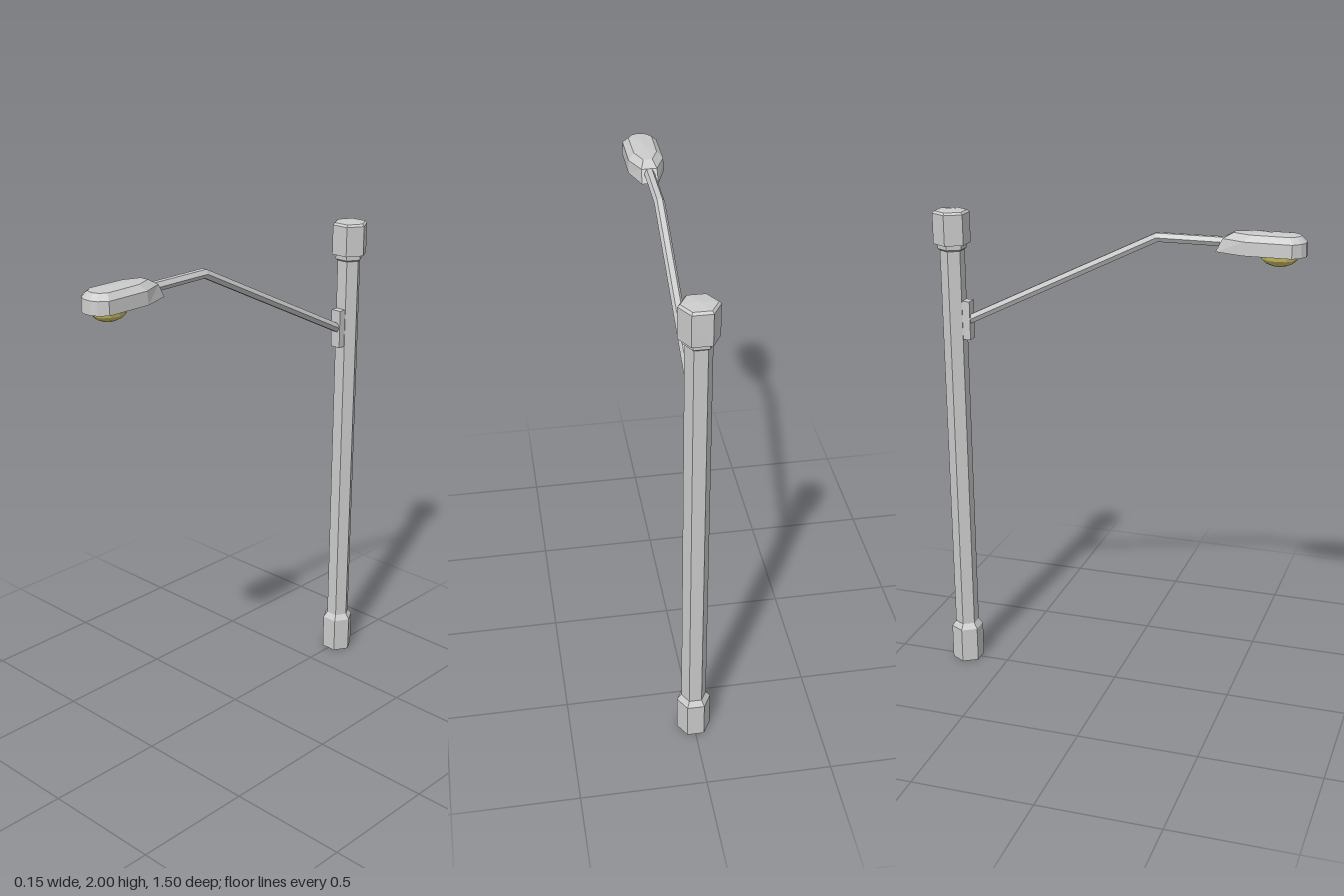
import * as THREE from 'three';

const grey = new THREE.MeshStandardMaterial({ color: 0xcccccc, flatShading: true });
const amber = new THREE.MeshStandardMaterial({ color: 0xd0c468, flatShading: true });
const POLE_Z = -0.685;

function add(parent, name, geometry, material = grey) {
  const mesh = new THREE.Mesh(geometry, material);
  mesh.name = name;
  parent.add(mesh);
  return mesh;
}

// Six-sided turned part standing on the pole axis, corners towards +x and -x
function hexPart(parent, name, profile) {
  const points = profile.map(([r, y]) => new THREE.Vector2(r, y));
  add(parent, name, new THREE.LatheGeometry(points, 6, Math.PI / 2)).position.z = POLE_Z;
}

// Skin over equal rings of [x, y, z], closed at both ends by a fan
// (rings run counter-clockwise when seen from the last ring's side)
function loft(rings, firstCentre, lastCentre) {
  const n = rings[0].length;
  const index = [];
  const first = rings.length * n, last = first + 1;
  for (let i = 0; i < n; i++) {
    const j = (i + 1) % n;
    for (let k = 0; k < rings.length - 1; k++) {
      const a = k * n + i, b = k * n + j;
      index.push(a, b, b + n, a, b + n, a + n);
    }
    const top = (rings.length - 1) * n;
    index.push(first, j, i, last, top + i, top + j);
  }
  const geometry = new THREE.BufferGeometry();
  const positions = [...rings.flat(), firstCentre, lastCentre].flat();
  geometry.setAttribute('position', new THREE.Float32BufferAttribute(positions, 3));
  geometry.setIndex(index);
  geometry.computeVertexNormals();
  return geometry;
}

// Hexagonal arm, mitred at the bend
function armGeometry() {
  const path = [[1.547, -0.63], [1.941, 0.17], [1.941, 0.47]];
  const lean = [Math.atan2(0.394, 0.8), Math.atan2(0.394, 0.8) / 2, 0];
  const rings = path.map(([y, z], k) => Array.from({ length: 6 }, (_, i) => {
    const a = i * Math.PI / 3;
    const up = 0.02 * Math.sin(a);
    return [0.021 * Math.cos(a), y + up * Math.cos(lean[k]), z - up * Math.sin(lean[k])];
  }));
  return loft(rings, [0, ...path[0]], [0, ...path[2]]);
}

// Lamp housing: mirrored half outlines stacked upwards
function headGeometry() {
  const layers = [
    { y: 1.906, half: [[0.033, 0.407], [0.072, 0.52], [0.072, 0.705], [0.045, 0.737], [0.018, 0.75]] },
    { y: 1.958, half: [[0.031, 0.433], [0.07, 0.525], [0.07, 0.705], [0.044, 0.735], [0.017, 0.747]] },
    { y: 1.981, half: [[0.018, 0.472], [0.046, 0.54], [0.048, 0.69], [0.03, 0.715], [0.011, 0.725]] },
  ];
  const rings = layers.map(({ y, half }) => [
    ...half.map(([x, z]) => [-x, y, z]),
    ...half.slice().reverse().map(([x, z]) => [x, y, z]),
  ]);
  return loft(rings, [0, 1.906, 0.6], [0, 1.987, 0.62]);
}

export function createModel() {
  const model = new THREE.Group();
  model.name = 'streetLight';

  // Pole with its foot and cap
  hexPart(model, 'poleBase', [[0, 0], [0.068, 0], [0.068, 0.152], [0.05, 0.175]]);
  hexPart(model, 'pole', [[0.05, 0.15], [0.05, 1.87]]);
  hexPart(model, 'poleCollar', [[0.05, 1.835], [0.059, 1.842], [0.059, 1.865]]);
  hexPart(model, 'poleCap', [[0.05, 1.862], [0.075, 1.862], [0.075, 1.985], [0.066, 1.994], [0, 2]]);

  // Arm and the plate that holds it
  add(model, 'armBracket', new THREE.BoxGeometry(0.046, 0.16, 0.04)).position.set(0, 1.55, -0.63);
  add(model, 'arm', armGeometry());

  // Lamp
  add(model, 'lampHead', headGeometry());
  const lens = add(model, 'lampLens',
    new THREE.SphereGeometry(1, 12, 4, 0, Math.PI * 2, Math.PI / 2, Math.PI / 2), amber);
  lens.scale.set(0.06, 0.046, 0.075);
  lens.position.set(0, 1.906, 0.645);

  return model;
}
